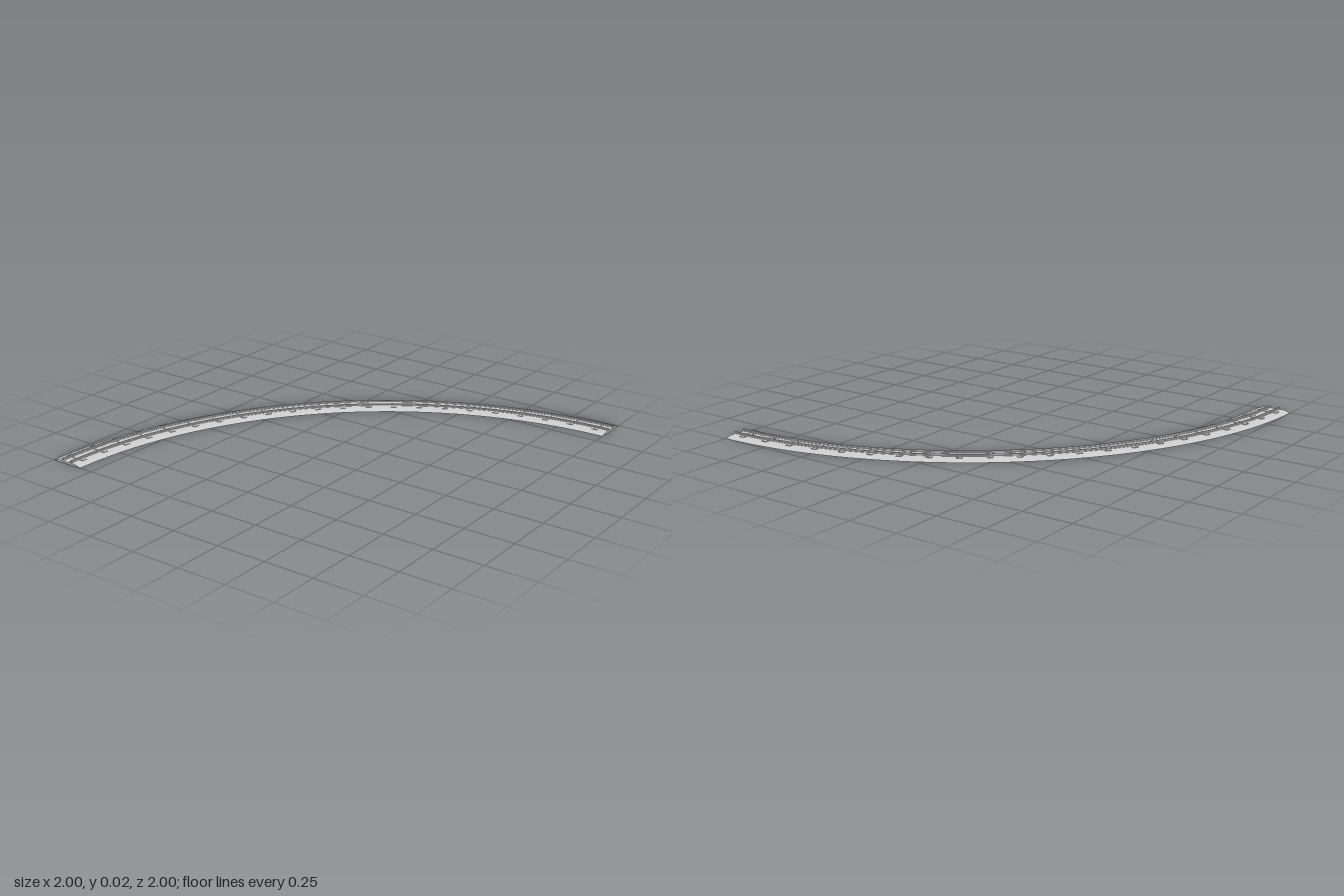
import * as THREE from 'three';
import { mergeGeometries, toCreasedNormals } from 'three/addons/utils/BufferGeometryUtils.js';

const MID = 1.911;        // centreline radius, curve centre at (1, 1)
const SLEEPERS = 22;

// Sweep a closed, counter-clockwise [offset, y] profile through the quarter turn and cap both ends
function sweep(profile, radius) {
  const points = profile.map(([x, y]) => new THREE.Vector2(radius + x, y));
  const body = new THREE.LatheGeometry([...points, points[0].clone()], 64, Math.PI, Math.PI / 2);
  const startCap = new THREE.ShapeGeometry(new THREE.Shape(points)).rotateY(Math.PI / 2);
  const endCap = new THREE.ShapeGeometry(
    new THREE.Shape(points.map((p) => new THREE.Vector2(-p.x, p.y))));
  return toCreasedNormals(mergeGeometries([body, startCap, endCap]), 0.35);
}

export function createModel() {
  const model = new THREE.Group();
  model.name = 'curvedTrack';
  const track = new THREE.Group();
  track.name = 'track';
  track.position.set(1, 0, 1);
  model.add(track);
  const material = new THREE.MeshStandardMaterial({ color: 0xcccccc });

  const add = (name, geometry, parent = track) => {
    const mesh = new THREE.Mesh(geometry, material);
    mesh.name = name;
    parent.add(mesh);
    return mesh;
  };

  // Ballast bed with sloping shoulders
  add('ballast', sweep([[-0.089, 0], [0.089, 0], [0.056, 0.0105], [-0.056, 0.0105]], MID));

  // Rails: wide foot, thin web, rounded-off head
  const half = [[0.0055, 0.0125], [0.0055, 0.0138], [0.0016, 0.015],
    [0.0016, 0.0188], [0.0036, 0.0196], [0.0036, 0.0218], [0.003, 0.0224]];
  const railProfile = [...half, ...half.map(([x, y]) => [-x, y]).reverse()];
  add('outerRail', sweep(railProfile, MID + 0.0265));
  add('innerRail', sweep(railProfile, MID - 0.0265));

  // Sleepers laid radially, with fastenings beside each rail
  const sleeperGeometry = new THREE.BoxGeometry(0.106, 0.009, 0.028);
  const clipGeometry = new THREE.BoxGeometry(0.004, 0.002, 0.01);
  for (let i = 0; i < SLEEPERS; i++) {
    const angle = Math.PI / 2 + ((i + 0.5) / SLEEPERS) * (Math.PI / 2);
    const sleeper = new THREE.Group();
    sleeper.name = 'sleeper';
    sleeper.rotation.y = angle;
    track.add(sleeper);
    add('sleeperBeam', sleeperGeometry, sleeper).position.set(MID, 0.0085, 0);
    for (const rail of [-0.0265, 0.0265]) {
      for (const side of [-0.006, 0.006]) {
        add('railClip', clipGeometry, sleeper).position.set(MID + rail + side, 0.0138, 0);
      }
    }
  }
  return model;
}
